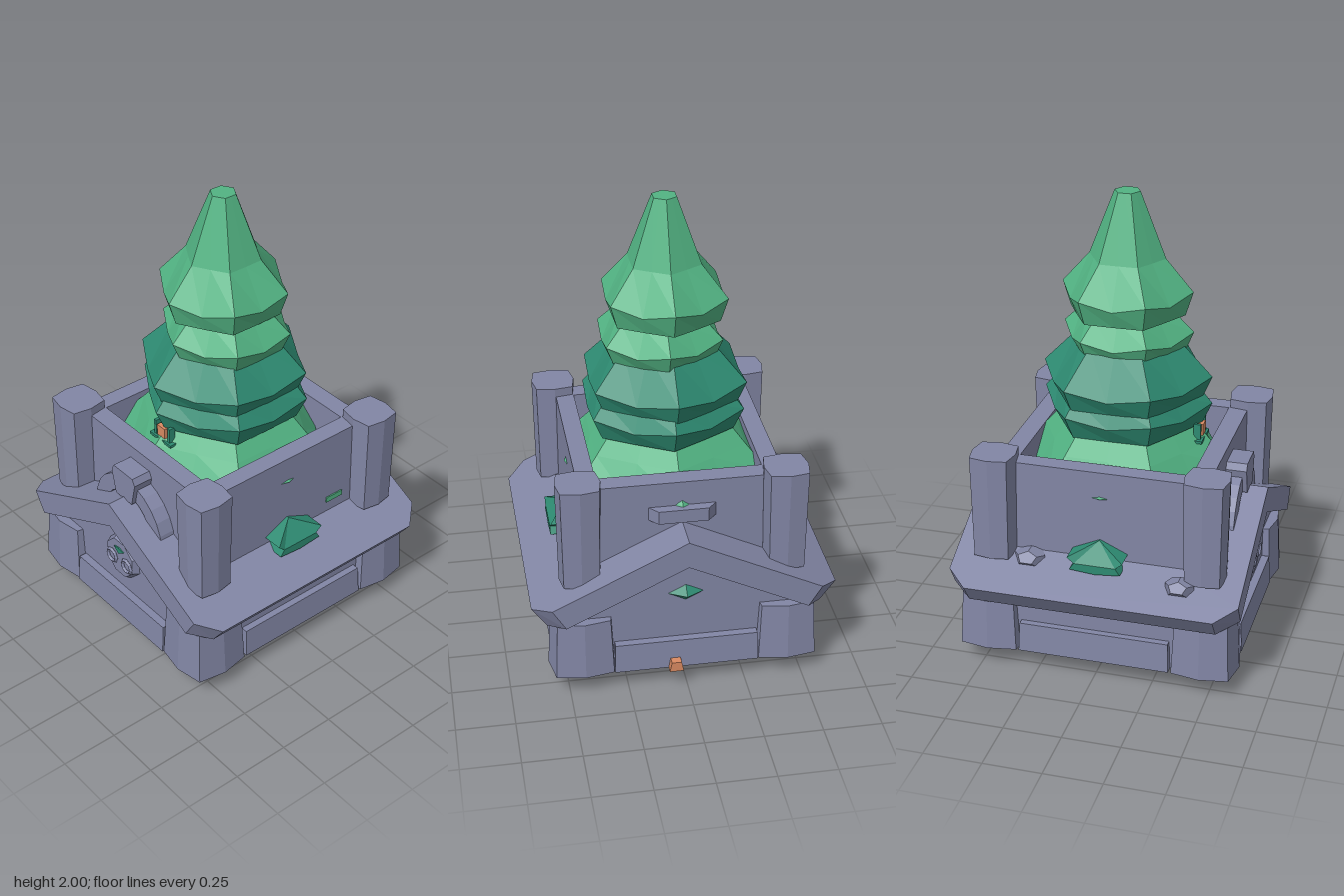
import * as THREE from 'three';

const mat = (name, color) => Object.assign(new THREE.MeshStandardMaterial({ color }), { name });

export function createModel() {
  const model = new THREE.Group();
  const stone = mat('stone', 0x8286a5);
  const leaf = mat('light leaf', 0x52b383);
  const darkLeaf = mat('dark leaf', 0x2e8b72);
  const bark = mat('bark', 0xd98a62);

  const add = (name, geometry, material, x = 0, y = 0, z = 0) => {
    const flat = geometry.index ? geometry.toNonIndexed() : geometry;
    flat.computeVertexNormals();
    const mesh = new THREE.Mesh(flat, material);
    mesh.name = name;
    mesh.position.set(x, y, z);
    model.add(mesh);
    return mesh;
  };
  const shapeOf = pts => new THREE.Shape(pts.map(([x, y]) => new THREE.Vector2(x, y)));
  const extrude = (shape, depth, curveSegments = 8) =>
    new THREE.ExtrudeGeometry(shape, { depth, bevelEnabled: false, curveSegments });
  // Extrude a plan outline upward from y = 0
  const rise = (shape, height) => extrude(shape, height).rotateX(-Math.PI / 2);
  const editVertices = (geometry, rule) => {
    const p = geometry.attributes.position;
    const v = new THREE.Vector3();
    for (let i = 0; i < p.count; i++) {
      rule(v.fromBufferAttribute(p, i));
      p.setXYZ(i, v.x, v.y, v.z);
    }
    return geometry;
  };
  const box = (w, h, d) => new THREE.BoxGeometry(w, h, d);

  // Lower gabled body
  add('gabledBody', extrude(shapeOf([
    [-0.52, 0.09], [0.52, 0.09], [0.52, 0.37], [0, 0.64], [-0.52, 0.37],
  ]), 1.1), stone, 0, 0, -0.55);

  // Plinth strips between the corner piers
  const flare = v => { if (v.y < 0) { v.x *= 1.015; v.z *= 1.015; } };
  add('plinthFrontBack', editVertices(box(0.61, 0.13, 1.17), flare), stone, 0, 0.155, 0);
  add('plinthSides', editVertices(box(1.1, 0.13, 0.65), flare), stone, 0, 0.155, 0);

  // Piers with slightly bowed sides, wide at the base and slim at the top
  const pier = (half, height, spread) => {
    const c = half * 0.85, h = half;
    const outline = shapeOf([[-c, -c], [0, -h], [c, -c], [h, 0], [c, c], [0, h], [-c, c], [-h, 0]]);
    return editVertices(rise(outline, height), v => {
      if (v.y < 0.01) { v.x *= spread; v.z *= spread; }
    });
  };
  for (const sx of [-1, 1]) for (const sz of [-1, 1]) {
    add('basePier', pier(0.132, 0.26, 1.1), stone, sx * 0.435, 0.09, sz * 0.465);
    add('towerPier', pier(0.095, 0.46, 0.93), stone, sx * 0.435, 0.5, sz * 0.457);
  }

  // Two sloping roof slabs with clipped outer corners
  const roofPlan = shapeOf([
    [0, -0.625], [0.57, -0.625], [0.65, -0.535], [0.65, 0.535], [0.57, 0.625], [0, 0.625],
  ]);
  for (const turn of [0, Math.PI]) {
    const slab = editVertices(rise(roofPlan, 0.12), v => {
      if (v.y < 0.06) v.x *= 0.9;
      v.y += 0.61 - 0.484 * v.x;
    });
    add('roofSlope', slab.rotateY(turn), stone);
  }

  // Open square tower
  const tower = shapeOf([[-0.43, -0.455], [0.43, -0.455], [0.43, 0.455], [-0.43, 0.455]]);
  tower.holes.push(new THREE.Path([
    [-0.35, -0.37], [-0.35, 0.37], [0.35, 0.37], [0.35, -0.37],
  ].map(p => new THREE.Vector2(...p))));
  add('towerWalls', rise(tower, 0.5), stone, 0, 0.42, 0);

  // Arch and keystone on the front wall
  const arch = new THREE.Shape();
  arch.absarc(0, 0, 0.23, 0, Math.PI, false);
  arch.absarc(0, 0, 0.155, Math.PI, 0, true);
  add('frontArch', extrude(arch, 0.075, 6), stone, 0, 0.58, 0.45);
  add('keystone', extrude(shapeOf([
    [-0.055, 0.72], [0.055, 0.72], [0.08, 0.83], [0.065, 0.86], [-0.065, 0.86], [-0.08, 0.83],
  ]), 0.1), stone, 0, 0, 0.445);

  // Ledge on the rear wall
  add('rearLedge', rise(shapeOf([
    [-0.155, 0.44], [0.155, 0.44], [0.105, 0.497], [-0.105, 0.497],
  ]), 0.06), stone, 0, 0.75, 0);

  // Octagonal badge with two rings on the front gable
  const badge = new THREE.CylinderGeometry(0.095, 0.115, 0.04, 8).rotateX(Math.PI / 2).rotateZ(Math.PI / 8);
  add('gableBadge', badge, stone, 0, 0.41, 0.56);
  for (const s of [-1, 1]) {
    add('badgeRing', new THREE.TorusGeometry(0.03, 0.009, 4, 8), stone, s * 0.052, 0.395, 0.582);
  }
  add('badgeLeaf', extrude(shapeOf([[-0.03, 0.462], [0, 0.437], [0.035, 0.46], [0, 0.468]]), 0.006),
    darkLeaf, 0, 0, 0.581);

  // Loose stones on the roof
  for (const [x, y, z, r] of [[-0.46, 0.5, -0.3, 0.075], [-0.515, 0.485, 0.365, 0.07], [0.46, 0.535, -0.06, 0.04]]) {
    add('roofStone', new THREE.DodecahedronGeometry(r).scale(0.9, 0.55, 0.95), stone, x, y, z);
  }

  // Trunk foot and a chip of bark
  add('trunk', new THREE.CylinderGeometry(0.25, 0.175, 0.13, 6).rotateY(Math.PI / 6 * 3), bark, 0, 0.065, 0);
  add('barkChip', editVertices(box(0.06, 0.045, 0.05), v => { if (v.y > 0) v.x *= 0.7; }), bark, 0.05, 0.113, -0.602);

  // Six-sided leaf tiers: [radius, height] from the base up, the lip drooping between corners
  const tier = (name, material, profile, x = 0) => {
    const pts = profile.map(([r, y]) => new THREE.Vector2(r, y));
    const first = pts[0].y, last = pts[pts.length - 1].y;
    pts.unshift(new THREE.Vector2(0, first + 0.05));
    pts.push(new THREE.Vector2(0, last));
    const g = new THREE.LatheGeometry(pts, 12);
    const lip = profile[1][1];
    editVertices(g, v => {
      const k = Math.round(Math.atan2(v.x, v.z) / (Math.PI / 6));
      if (Math.abs(k) % 2 === 1) {
        v.x *= 0.875; v.z *= 0.875;
        if (Math.abs(v.y - lip) < 0.001) v.y -= 0.03;
      }
    });
    add(name, g, material, x);
  };
  tier('leafTierTop', leaf, [[0.25, 1.48], [0.283, 1.585], [0.165, 1.72], [0.055, 2]]);
  tier('leafTierSecond', leaf, [[0.245, 1.31], [0.283, 1.4], [0.2, 1.48], [0.15, 1.56]], 0.02);
  tier('leafTierThird', darkLeaf, [[0.33, 1.12], [0.37, 1.215], [0.22, 1.37], [0.15, 1.42]]);
  tier('leafTierFourth', darkLeaf, [[0.325, 0.99], [0.37, 1.09], [0.31, 1.16], [0.2, 1.22]], 0.01);
  tier('leafTierBottom', leaf, [[0.43, 0.72], [0.475, 0.81], [0.37, 0.92], [0.28, 1.02]]);

  // Leaf tips poking out through the walls
  const tip = shapeOf([
    [-0.11, 0.5], [0, 0.49], [0.11, 0.5], [0.09, 0.53], [0.12, 0.555], [0, 0.61], [-0.12, 0.555], [-0.09, 0.53],
  ]);
  for (const s of [-1, 1]) {
    const g = extrude(tip, 0.52);
    editVertices(g, v => { if (v.z > 0.5 && v.y > 0.58) v.z = 0.44; });
    add('sideLeafTip', g.rotateY(s * Math.PI / 2), darkLeaf);
    add('wallLeafTip', new THREE.OctahedronGeometry(0.045).scale(0.3, 0.2, 1), leaf, s * 0.427, 0.802, 0);
  }
  add('rearLeafTip', new THREE.OctahedronGeometry(0.075).scale(1, 0.5, 0.55), darkLeaf, 0, 0.44, -0.55);
  add('wallLeafPatch', box(0.008, 0.025, 0.09), leaf, 0.432, 0.587, -0.27);

  // Small lantern hanging at the front of the tree
  add('lanternLight', box(0.05, 0.05, 0.04), bark, 0, 0.975, 0.32);
  add('lanternBase', box(0.14, 0.012, 0.05), darkLeaf, 0, 0.935, 0.32);
  for (const s of [-1, 1]) add('lanternPost', box(0.014, 0.08, 0.03), darkLeaf, s * 0.045, 0.97, 0.32);

  return model;
}
